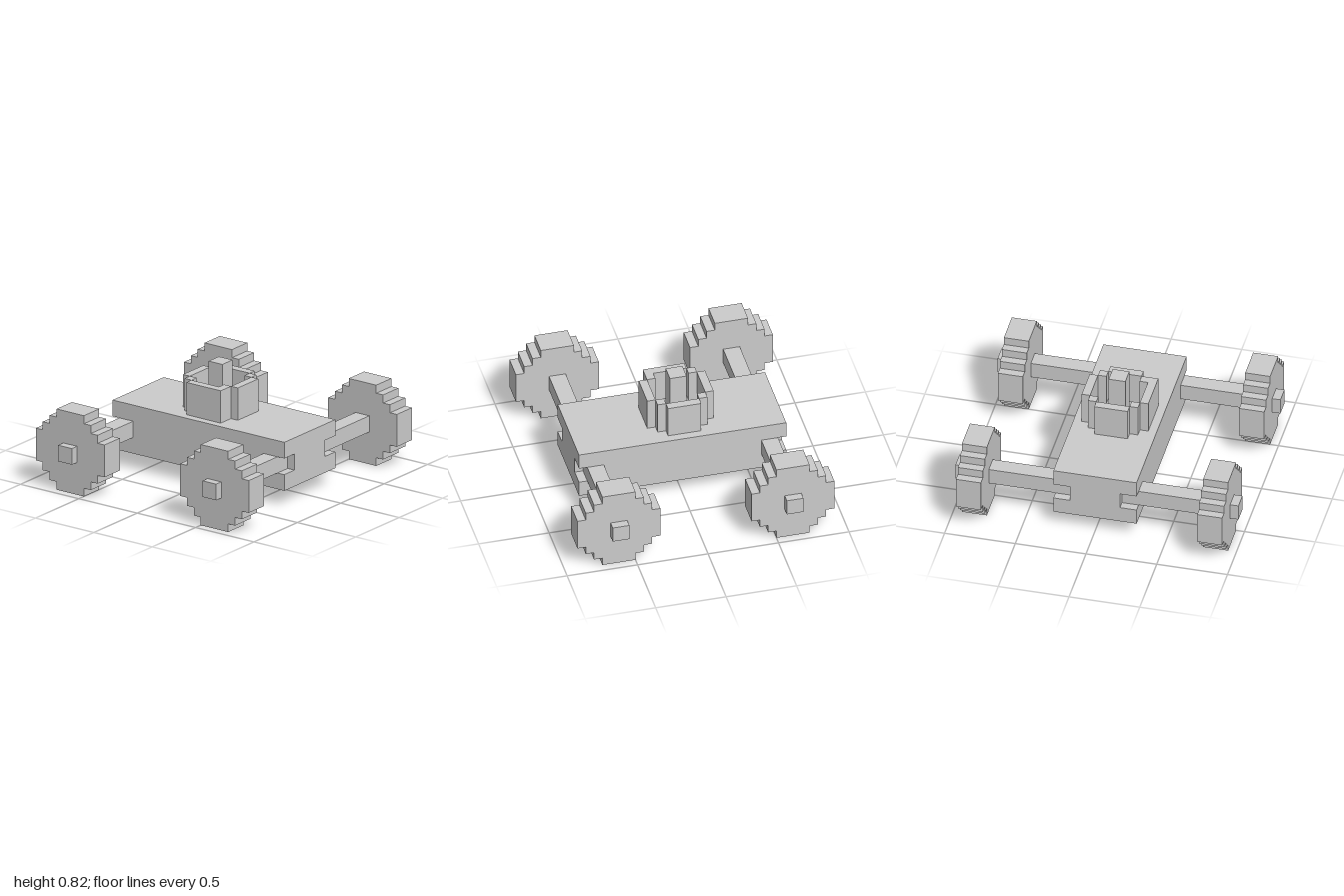
import * as THREE from 'three';

// One block of the stepped design; all dimensions below are in blocks.
const U = 1 / 17;

export function createModel() {
  const model = new THREE.Group();
  model.name = 'buggy';
  const material = new THREE.MeshStandardMaterial({ color: 0xcccccc, flatShading: true });

  const add = (name, geometry, x, y, z) => {
    const mesh = new THREE.Mesh(geometry, material);
    mesh.name = name;
    mesh.position.set(x * U, y * U, z * U);
    model.add(mesh);
    return mesh;
  };
  const box = (name, w, h, d, x, y, z) =>
    add(name, new THREE.BoxGeometry(w * U, h * U, d * U), x, y, z);
  const points = (list) => list.map(([a, b]) => new THREE.Vector2(a * U, b * U));
  const extrude = (outline, depth, hole) => {
    const shape = new THREE.Shape(points(outline));
    if (hole) shape.holes.push(new THREE.Path(points(hole)));
    return new THREE.ExtrudeGeometry(shape, { depth: depth * U, bevelEnabled: false })
      .translate(0, 0, -depth * U / 2);
  };
  // Mirrors the corners of one quadrant into a closed stepped outline.
  const stepped = (quadrant) => {
    const half = [...quadrant, ...quadrant.map(([a, b]) => [-a, b]).reverse()];
    return [...half, ...half.map(([a, b]) => [-a, -b])];
  };

  // Body, with slots beside the axles at both ends
  box('body', 23, 6, 10, 0, 5, 0);
  const endProfile = stepped([[5, 1], [5, 3]]);
  endProfile.length = 0;
  endProfile.push([5, -3], [5, -1], [3, -1], [3, 1], [5, 1], [5, 3],
    [-5, 3], [-5, 1], [-3, 1], [-3, -1], [-5, -1], [-5, -3]);
  for (const side of [-1, 1]) {
    add('bodyEnd', extrude(endProfile, 1), side * 12, 5, 0).rotation.y = Math.PI / 2;
  }

  // Wheels on square axles
  const wheel = extrude(stepped([[5, 2], [4, 2], [4, 3], [3, 3], [3, 4], [2, 4], [2, 5]].map(
    ([a, b]) => [a, b])), 3);
  for (const x of [-10.5, 10.5]) {
    for (const side of [-1, 1]) {
      box('axle', 2, 2, 12, x, 5, side * 11);
      add('wheel', wheel, x, 5, side * 14.5);
    }
  }

  // Hollow turret wall with one squared-off front corner
  const wall = stepped([[4, 2], [3, 2], [3, 3], [2, 3], [2, 4]]);
  const cavity = stepped([[3, 2], [2, 2], [2, 3]]);
  const turret = add('turretWall', extrude(wall, 4, cavity), -0.5, 10, 0);
  turret.rotation.x = Math.PI / 2;
  box('turretCorner', 1, 4, 1, 2, 10, 3.5);

  // Post standing inside the turret
  box('post', 2, 6, 2, -0.5, 11, 0);

  return model;
}
